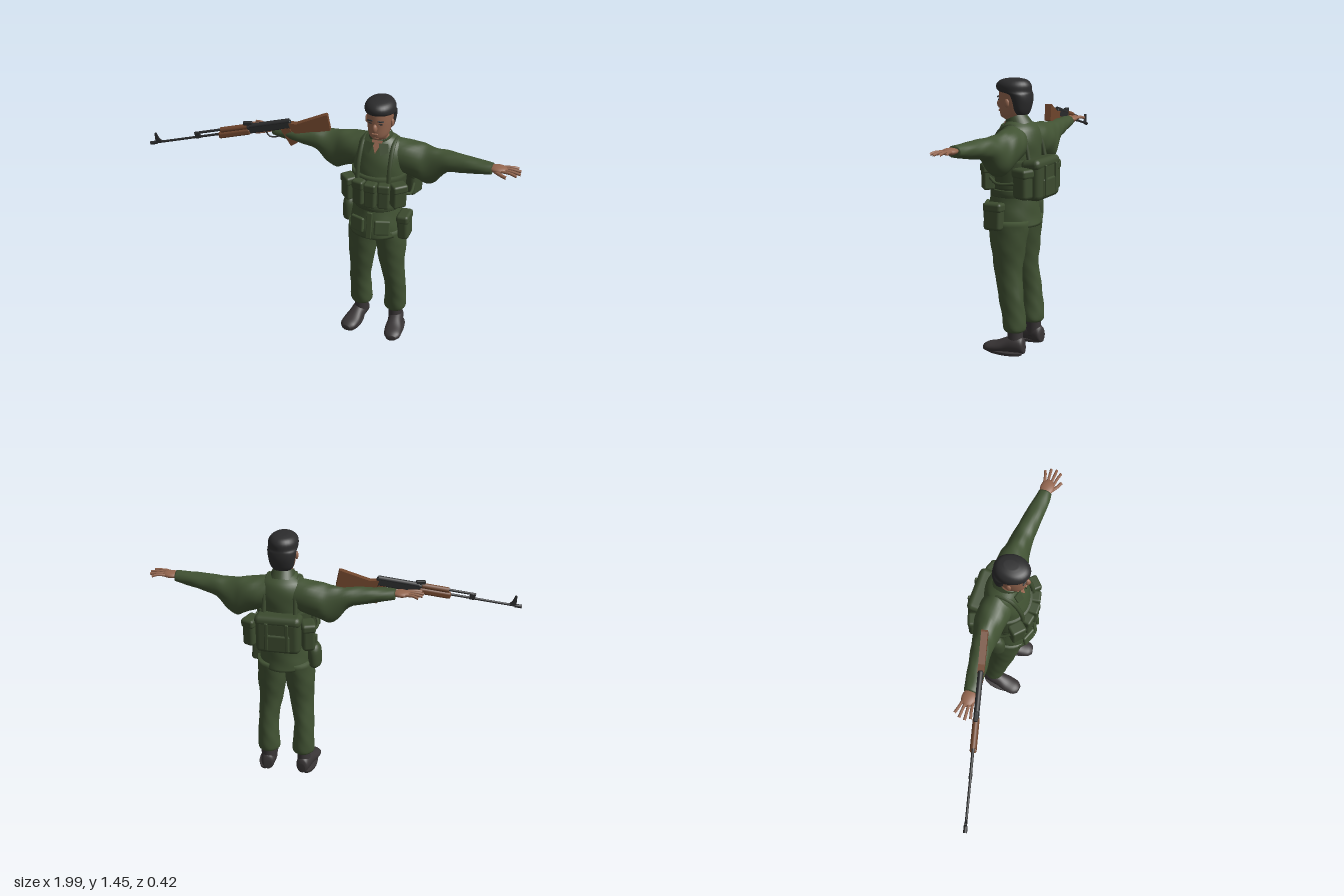
import * as THREE from 'three';
import { RoundedBoxGeometry } from 'three/addons/geometries/RoundedBoxGeometry.js';

const mat = (name, color, double) => {
  const m = new THREE.MeshStandardMaterial({ color });
  m.name = name;
  if (double) m.side = THREE.DoubleSide;
  return m;
};

// Smooth skin over elliptical rings [t, centreU, centreV, radiusU, radiusV] along an axis.
// u,v are x,z for axis y; z,y for axis x; y,x for axis z. fold adds cloth creases.
function loft(axis, rings, fold = 0, seg = 28, sub = 4) {
  const pos = [], idx = [], n = rings.length;
  const put = (t, u, v) => pos.push(...(axis === 'y' ? [u, t, v] : axis === 'x' ? [t, v, u] : [v, u, t]));
  const at = (i) => rings[Math.max(0, Math.min(n - 1, i))];
  const count = (n - 1) * sub + 1;
  let first, last;
  for (let i = 0; i < count; i++) {
    const k = Math.min(n - 2, Math.floor(i / sub)), f = i / sub - k;
    const r = at(k).map((b, c) => {
      const a = at(k - 1)[c], d = at(k + 1)[c], e = at(k + 2)[c];
      return b + 0.5 * f * (d - a + f * (2 * a - 5 * b + 4 * d - e + f * (3 * (b - d) + e - a)));
    });
    if (!i) first = r;
    last = r;
    for (let j = 0; j < seg; j++) {
      const a = (j / seg) * Math.PI * 2;
      const w = 1 + fold * (Math.sin(3 * a + r[0] * 38) + 0.7 * Math.sin(5 * a - r[0] * 61));
      put(r[0], r[1] + r[3] * w * Math.cos(a), r[2] + r[4] * w * Math.sin(a));
    }
  }
  for (let i = 0; i < count - 1; i++) for (let j = 0; j < seg; j++) {
    const a = i * seg + j, b = i * seg + (j + 1) % seg;
    idx.push(a, a + seg, b + seg, a, b + seg, b);
  }
  put(...first); put(...last);
  const c = count * seg, top = (count - 1) * seg;
  for (let j = 0; j < seg; j++) {
    const k = (j + 1) % seg;
    idx.push(c, j, k, c + 1, top + k, top + j);
  }
  const g = new THREE.BufferGeometry();
  g.setAttribute('position', new THREE.Float32BufferAttribute(pos, 3));
  g.setIndex(idx);
  g.computeVertexNormals();
  return g;
}

export function createModel() {
  const cloth = mat('cloth green', 0x415233), gear = mat('gear green', 0x3c4b2f, true);
  const skin = mat('skin', 0x94664f), hair = mat('hair black', 0x2c2c2d);
  const boot = mat('boot grey', 0x393536), wood = mat('wood', 0x6f452c), metal = mat('gun metal', 0x292a2b);

  const root = new THREE.Group();
  root.name = 'soldier';
  const body = new THREE.Group();
  body.name = 'figure';
  body.position.x = 0.25;
  root.add(body);
  const add = (parent, name, geo, m, p = [0, 0, 0], r = [0, 0, 0]) => {
    const mesh = new THREE.Mesh(geo, m);
    mesh.name = name;
    mesh.position.set(...p);
    mesh.rotation.set(...r);
    parent.add(mesh);
    return mesh;
  };
  const box = (w, h, d, r = 0.012) => new RoundedBoxGeometry(w, h, d, 2, Math.min(r, w / 2.1, h / 2.1, d / 2.1));
  const ball = (name, m, p, s) => add(body, name, new THREE.SphereGeometry(1, 16, 12), m, p).scale.set(...s);
  const tube = (pts, r) => new THREE.TubeGeometry(new THREE.CatmullRomCurve3(pts.map((p) => new THREE.Vector3(...p))), 20, r, 8);
  const flat = (pts, d) => {
    const g = new THREE.ExtrudeGeometry(new THREE.Shape(pts.map((p) => new THREE.Vector2(...p))), { depth: d, bevelEnabled: false });
    return g.translate(0, 0, -d / 2);
  };

  // Jacket
  add(body, 'jacket', loft('y', [
    [0.685, 0, 0.012, 0.147, 0.145], [0.75, 0, 0.012, 0.142, 0.138], [0.86, 0, 0.002, 0.126, 0.122],
    [0.95, 0, -0.006, 0.132, 0.118], [1.05, 0, -0.012, 0.142, 0.118], [1.13, 0, -0.022, 0.142, 0.11],
    [1.19, 0, -0.028, 0.118, 0.088], [1.222, 0, -0.02, 0.075, 0.062], [1.232, 0, -0.016, 0.056, 0.052],
  ], 0.01, 36), cloth);
  add(body, 'placket', box(0.03, 0.15, 0.012, 0.004), cloth, [0, 0.765, 0.148], [-0.12, 0, 0]);
  add(body, 'jacketBelt', loft('y', [[0.842, 0, 0.003, 0.132, 0.127], [0.86, 0, 0.002, 0.134, 0.13], [0.88, 0, 0.001, 0.132, 0.127]], 0, 36), gear);
  add(body, 'collar', new THREE.CylinderGeometry(0.056, 0.074, 0.055, 28, 1, true, 0.5, Math.PI * 2 - 1), gear, [0, 1.222, -0.012], [0.38, 0, 0]);
  add(body, 'openNeck', flat([[-0.03, 0.035], [0, -0.035], [0.03, 0.035]], 0.006), skin, [0, 1.192, 0.062], [-0.55, 0, 0]);

  for (const s of [1, -1]) {
    const side = s > 0 ? 'left' : 'right';
    add(body, side + 'CollarFlap', flat([[0, 0.03], [s * 0.05, 0.035], [s * 0.055, -0.01], [s * 0.018, -0.03]], 0.009), gear, [s * 0.012, 1.185, 0.071], [-0.5, s * 0.25, 0]);
    add(body, side + 'JacketPocket', box(0.085, 0.085, 0.02), cloth, [s * 0.068, 0.76, 0.138], [-0.1, s * 0.38, 0]);

    // Sleeve, sagging below the upper arm
    const arm = [
      [0.03, -0.03, 1.14, 0.075, 0.075], [0.12, -0.04, 1.117, 0.085, 0.09], [0.2, -0.045, 1.1, 0.08, 0.1],
      [0.25, -0.045, 1.083, 0.07, 0.108], [0.3, -0.04, 1.095, 0.062, 0.093], [0.36, -0.032, 1.13, 0.055, 0.058],
      [0.45, -0.02, 1.14, 0.05, 0.045], [0.55, -0.008, 1.148, 0.042, 0.034], [0.595, -0.005, 1.152, 0.036, 0.028],
    ];
    add(body, side + 'Sleeve', loft('x', s > 0 ? arm : arm.map(([t, ...r]) => [-t, ...r]).reverse(), 0.02), cloth);

    // Hand with spread fingers
    ball(side + 'Palm', skin, [s * 0.625, 1.158, -0.003], [0.05, 0.017, 0.038]);
    [-0.028, -0.01, 0.009, 0.026].forEach((z, i) => add(body, side + 'Finger', tube([
      [s * 0.64, 1.158, z * 0.9], [s * 0.69, 1.162, z * 1.25], [s * [0.72, 0.738, 0.742, 0.728][i], 1.156, z * 1.6],
    ], 0.0075), skin));
    add(body, side + 'Thumb', tube([[s * 0.61, 1.153, 0.022], [s * 0.645, 1.15, 0.043], [s * 0.68, 1.148, 0.06]], 0.009), skin);

    // Trouser leg and boot
    add(body, side + 'TrouserLeg', loft('y', [
      [0.125, s * 0.1, -0.048, 0.05, 0.05], [0.145, s * 0.1, -0.048, 0.063, 0.06], [0.22, s * 0.102, -0.04, 0.059, 0.064],
      [0.32, s * 0.102, -0.025, 0.057, 0.069], [0.45, s * 0.088, -0.004, 0.066, 0.077],
      [0.58, s * 0.08, 0, 0.08, 0.096], [0.72, s * 0.07, 0.002, 0.085, 0.118],
    ], 0.018), cloth);
    add(body, side + 'BootShaft', loft('y', [[0.04, s * 0.105, -0.052, 0.04, 0.048], [0.1, s * 0.102, -0.05, 0.037, 0.042], [0.15, s * 0.1, -0.05, 0.035, 0.04]]), boot);
    add(body, side + 'BootFoot', loft('z', [
      [-0.062, 0.035, 0, 0.028, 0.022], [-0.05, 0.048, 0, 0.045, 0.036], [-0.01, 0.052, 0, 0.049, 0.042], [0.04, 0.044, 0, 0.042, 0.042],
      [0.09, 0.033, 0, 0.031, 0.049], [0.14, 0.027, 0, 0.025, 0.045], [0.165, 0.022, 0, 0.015, 0.024],
    ]), boot, [s * 0.109, 0, -0.043], [0, s * 0.17, 0]);
    add(body, side + 'BootSole', loft('y', [[0, s * 0.122, 0.008, 0.046, 0.105], [0.016, s * 0.122, 0.008, 0.048, 0.11]]), boot, [0, 0, 0]);

    // Harness strap, side pouches and pack pockets
    add(body, side + 'ShoulderStrap', tube([
      [s * 0.085, 0.98, 0.108], [s * 0.085, 1.1, 0.088], [s * 0.082, 1.19, 0.035], [s * 0.08, 1.21, -0.025], [s * 0.082, 1.17, -0.09], [s * 0.085, 1.03, -0.13],
    ], 0.012), gear);
    add(body, side + 'SidePouch', box(0.075, 0.125, 0.06), gear, [s * 0.135, 0.945, 0.087], [0, s * 0.75, 0]);
    add(body, side + 'SidePouchFlap', box(0.083, 0.045, 0.068), gear, [s * 0.136, 0.993, 0.088], [0, s * 0.75, 0]);
    add(body, side + 'PackPocket', box(0.07, 0.145, 0.095, 0.02), gear, [s * 0.152, 0.925, -0.128], [0, -s * 0.35, 0]);
    add(body, side + 'PackPocketFlap', box(0.077, 0.05, 0.102, 0.016), gear, [s * 0.153, 0.985, -0.128], [0, -s * 0.35, 0]);
    add(body, side + 'SideStrap', tube([[s * 0.16, 0.95, 0.06], [s * 0.178, 0.925, 0.01], [s * 0.165, 0.93, -0.1]], 0.008), gear);
    add(body, side + 'PackBuckleStrap', box(0.018, 0.16, 0.012, 0.004), gear, [s * 0.055, 0.94, -0.208]);

    // Ear, brow and eye
    ball(side + 'Ear', skin, [s * 0.068, 1.322, 0.012], [0.009, 0.022, 0.014]);
    add(body, side + 'Brow', box(0.032, 0.007, 0.008, 0.003), hair, [s * 0.029, 1.35, 0.083], [0, s * 0.28, -s * 0.08]);
    add(body, side + 'Eye', box(0.02, 0.006, 0.006, 0.002), hair, [s * 0.028, 1.335, 0.081], [0, s * 0.28, 0]);
  }

  // Chest rig with magazine pouches
  add(body, 'chestBand', loft('y', [[0.885, 0, 0.002, 0.139, 0.127], [0.94, 0, 0, 0.142, 0.127], [1.04, 0, -0.006, 0.148, 0.123]], 0, 36), gear);
  for (const x of [-0.067, 0, 0.067]) {
    add(body, 'magazinePouch', box(0.061, 0.125, 0.055), gear, [x, 0.94, 0.133 - Math.abs(x) * 0.2], [0, x * 3, 0]);
    add(body, 'magazinePouchFlap', box(0.066, 0.05, 0.062), gear, [x, 0.995, 0.134 - Math.abs(x) * 0.2], [0, x * 3, 0]);
  }

  // Backpack
  add(body, 'backpack', box(0.24, 0.2, 0.1, 0.03), gear, [0, 0.935, -0.152]);
  add(body, 'packLid', box(0.25, 0.06, 0.11, 0.028), gear, [0, 1.018, -0.148], [0.12, 0, 0]);
  add(body, 'packRearPocket', box(0.14, 0.1, 0.03, 0.012), gear, [0, 0.9, -0.195]);

  // Hip canteen and hip pouch
  add(body, 'canteen', loft('y', [[0.69, -0.168, -0.02, 0.026, 0.042], [0.71, -0.168, -0.02, 0.036, 0.052], [0.79, -0.166, -0.02, 0.036, 0.05], [0.825, -0.164, -0.02, 0.022, 0.026]]), gear);
  add(body, 'canteenCap', new THREE.CylinderGeometry(0.018, 0.018, 0.045, 16), gear, [-0.164, 0.85, -0.02]);
  add(body, 'hipPouch', box(0.06, 0.14, 0.1, 0.018), gear, [0.162, 0.745, 0.038], [0, 0, 0.06]);
  add(body, 'hipPouchFlap', box(0.068, 0.05, 0.107, 0.016), gear, [0.16, 0.795, 0.038], [0, 0, 0.06]);

  // Head
  add(body, 'head', loft('y', [
    [1.17, 0, -0.018, 0.052, 0.054], [1.225, 0, -0.008, 0.048, 0.05], [1.243, 0, 0.014, 0.044, 0.06], [1.265, 0, 0.014, 0.054, 0.071],
    [1.31, 0, 0.007, 0.063, 0.08], [1.35, 0, 0.003, 0.067, 0.085], [1.4, 0, 0, 0.066, 0.083], [1.425, 0, 0, 0.045, 0.055],
  ]), skin);
  ball('nose', skin, [0, 1.31, 0.09], [0.013, 0.024, 0.017]);
  ball('chin', skin, [0, 1.252, 0.066], [0.022, 0.014, 0.018]);
  add(body, 'lips', box(0.034, 0.009, 0.012, 0.004), skin, [0, 1.277, 0.086]);
  add(body, 'hair', loft('y', [
    [1.262, 0, -0.045, 0.045, 0.025], [1.285, 0, -0.043, 0.062, 0.038], [1.33, 0, -0.042, 0.072, 0.05], [1.365, 0, -0.032, 0.077, 0.06],
    [1.382, 0, 0.002, 0.079, 0.091], [1.412, 0, 0.007, 0.077, 0.094], [1.435, 0, 0.005, 0.058, 0.073], [1.445, 0, 0, 0.025, 0.035],
  ], 0.006), hair);

  // Rifle, built from the muzzle along its own x axis
  const gun = new THREE.Group();
  gun.name = 'rifle';
  gun.position.set(-0.997, 1.04, 0.195);
  gun.rotation.set(0, 0.236, 0.211, 'YXZ');
  root.add(gun);
  const rod = (name, m, u0, u1, v, r) => add(gun, name, new THREE.CylinderGeometry(r, r, u1 - u0, 14), m, [(u0 + u1) / 2, v, 0], [0, 0, Math.PI / 2]);
  rod('barrel', metal, 0, 0.58, 0, 0.0065);
  rod('muzzle', metal, 0, 0.035, 0, 0.01);
  rod('gasTube', metal, 0.26, 0.56, 0.024, 0.007);
  rod('upperHandguard', wood, 0.41, 0.555, 0.022, 0.015);
  add(gun, 'gasBlock', box(0.03, 0.035, 0.016, 0.004), metal, [0.275, 0.01, 0]);
  add(gun, 'lowerHandguard', box(0.18, 0.036, 0.034, 0.012), wood, [0.48, -0.006, 0]);
  add(gun, 'frontSight', flat([[0.03, 0], [0.07, 0], [0.054, 0.022], [0.048, 0.056], [0.04, 0.056]], 0.012), metal);
  add(gun, 'receiver', box(0.245, 0.045, 0.026, 0.008), metal, [0.675, 0.004, 0]);
  rod('receiverCover', metal, 0.57, 0.79, 0.022, 0.014);
  add(gun, 'rearSight', box(0.05, 0.02, 0.02, 0.005), metal, [0.565, 0.04, 0], [0, 0, -0.15]);
  add(gun, 'triggerGuard', tube([[0.65, -0.015, 0], [0.665, -0.052, 0], [0.72, -0.056, 0], [0.745, -0.025, 0]], 0.004), metal);
  add(gun, 'pistolGrip', flat([[0.735, -0.015], [0.768, -0.12], [0.808, -0.105], [0.782, -0.015]], 0.026), wood);
  add(gun, 'stock', flat([[0.785, 0.012], [0.79, -0.03], [0.815, -0.054], [0.998, -0.058], [1.0, 0.03], [0.99, 0.032], [0.83, 0.004]], 0.034), wood);
  return root;
}
